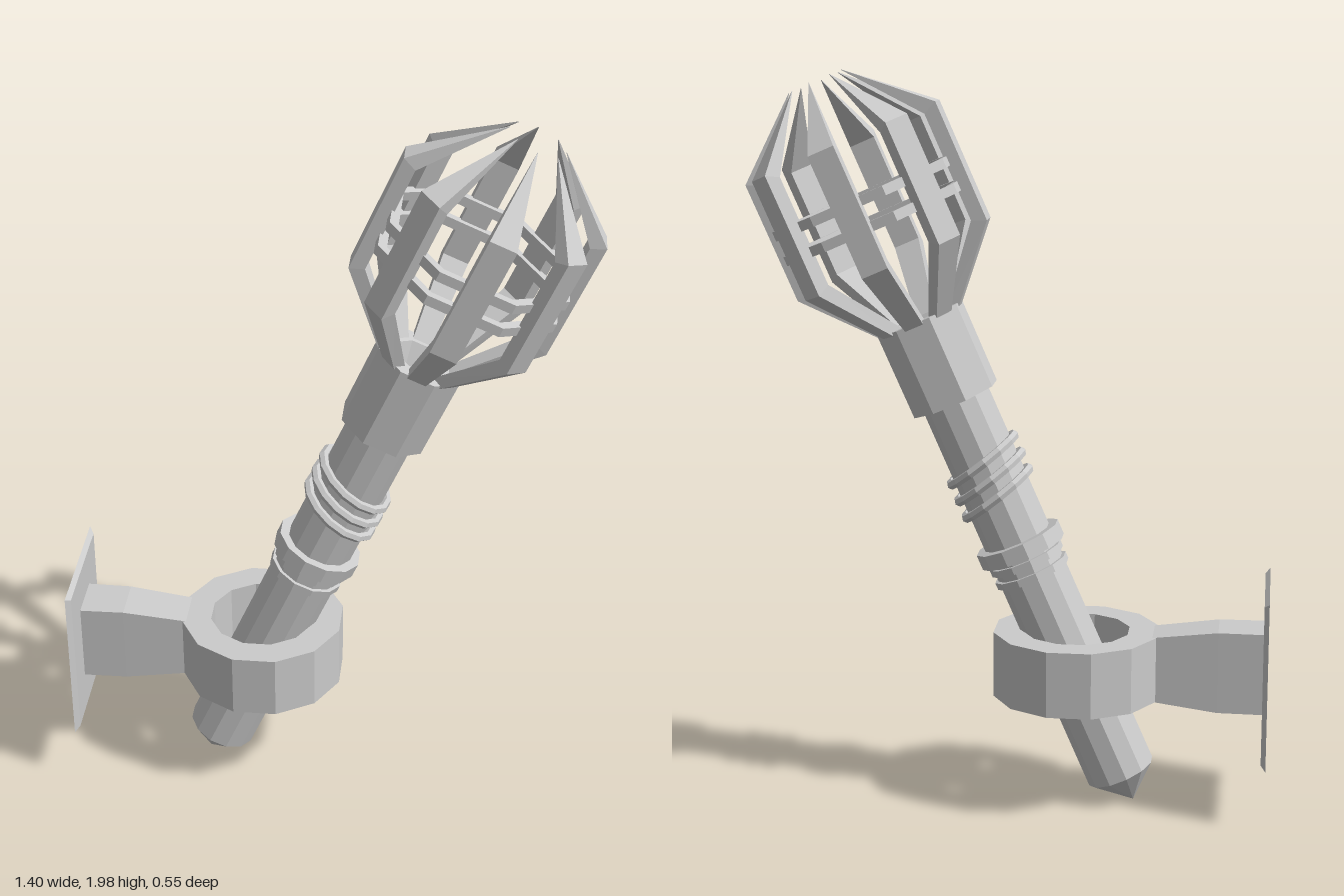
import * as THREE from 'three';

const material = new THREE.MeshStandardMaterial({ color: 0xcccccc, flatShading: true });

function add(parent, name, geometry) {
  const mesh = new THREE.Mesh(geometry, material);
  mesh.name = name;
  parent.add(mesh);
  return mesh;
}

// Revolved profile with its flats facing the main axes; radii are measured to the flats
function turned(profile, sides) {
  const k = 1 / Math.cos(Math.PI / sides);
  return new THREE.LatheGeometry(profile.map(([r, y]) => new THREE.Vector2(r * k, y)), sides, Math.PI / sides);
}

// Hollow ring with a rectangular section
function band(inner, outer, y0, y1, sides) {
  return turned([[inner, y0], [outer, y0], [outer, y1], [inner, y1], [inner, y0]], sides);
}

// Four-cornered cross-sections joined in order, closed at both ends
function loft(sections) {
  const pos = [];
  const quad = (a, b, c, d) => [a, b, c, a, c, d].forEach((p) => pos.push(...p));
  for (let i = 0; i < sections.length - 1; i++) {
    const s = sections[i], n = sections[i + 1];
    for (let j = 0; j < 4; j++) {
      const k = (j + 1) % 4;
      quad(s[j], s[k], n[k], n[j]);
    }
  }
  const e = sections[sections.length - 1], f = sections[0];
  quad(e[0], e[1], e[2], e[3]);
  quad(f[3], f[2], f[1], f[0]);
  const g = new THREE.BufferGeometry();
  g.setAttribute('position', new THREE.Float32BufferAttribute(pos, 3));
  g.computeVertexNormals();
  return g;
}

function createBracket() {
  const bracket = new THREE.Group();
  bracket.name = 'wallBracket';

  // Rectangles across the x axis: position, half height, half depth
  const block = (list) => loft(list.map(([x, h, d]) => [
    [x, 0.4 - h, d], [x, 0.4 - h, -d], [x, 0.4 + h, -d], [x, 0.4 + h, d],
  ]));
  add(bracket, 'wallPlate', block([[-0.7, 0.23, 0.183], [-0.687, 0.218, 0.165]]));
  add(bracket, 'arm', block([[-0.69, 0.112, 0.066], [-0.566, 0.112, 0.064], [-0.39, 0.09, 0.058]]));

  const holder = add(bracket, 'holderRing', band(0.142, 0.22, 0.31, 0.49, 12));
  holder.position.x = -0.18;
  return bracket;
}

function createTorch() {
  const torch = new THREE.Group();
  torch.name = 'torch';

  // Shaft with a pointed foot
  add(torch, 'shaft', turned([[0, -0.087], [0.092, 0], [0.09, 1.14]], 12));

  // Collars around the shaft
  add(torch, 'wideCollar', band(0.08, 0.116, 0.672, 0.715, 12));
  for (const y of [0.605, 0.643]) {
    add(torch, 'slimCollar', band(0.08, 0.101, y, y + 0.02, 12));
  }

  // Slanted binding rings
  for (const y of [0.849, 0.898, 0.948]) {
    const g = new THREE.TorusGeometry(0.109, 0.013, 6, 14);
    g.rotateX(Math.PI / 2);
    g.rotateZ(-0.26);
    g.translate(0, y, 0);
    add(torch, 'bindingRing', g);
  }

  // Octagonal cup with a stepped recess
  add(torch, 'cup', turned([
    [0, 1.127], [0.114, 1.127], [0.115, 1.365], [0.068, 1.365], [0.04, 1.3], [0, 1.3],
  ], 8));

  // Cage of eight bent prongs: outer r, y, inner r, y, half width
  const prong = loft([
    [0.115, 1.355, 0.073, 1.355, 0.026],
    [0.277, 1.534, 0.238, 1.55, 0.036],
    [0.277, 1.868, 0.238, 1.85, 0.036],
    [0.077, 2.041, 0.076, 2.04, 0.0005],
  ].map(([ro, yo, ri, yi, w]) => [[ro, yo, w], [ro, yo, -w], [ri, yi, -w], [ri, yi, w]]));
  const cage = new THREE.Group();
  cage.name = 'cage';
  torch.add(cage);
  for (let i = 0; i < 8; i++) {
    add(cage, 'prong', prong).rotation.y = (i * Math.PI) / 4;
  }
  for (const y of [1.632, 1.702]) {
    add(cage, 'cageHoop', band(0.222, 0.246, y, y + 0.026, 8));
  }

  torch.position.set(-0.305, 0.087, 0);
  torch.rotation.z = -THREE.MathUtils.degToRad(23.7);
  return torch;
}

export function createModel() {
  const model = new THREE.Group();
  model.name = 'wallTorch';
  model.add(createBracket(), createTorch());
  return model;
}
